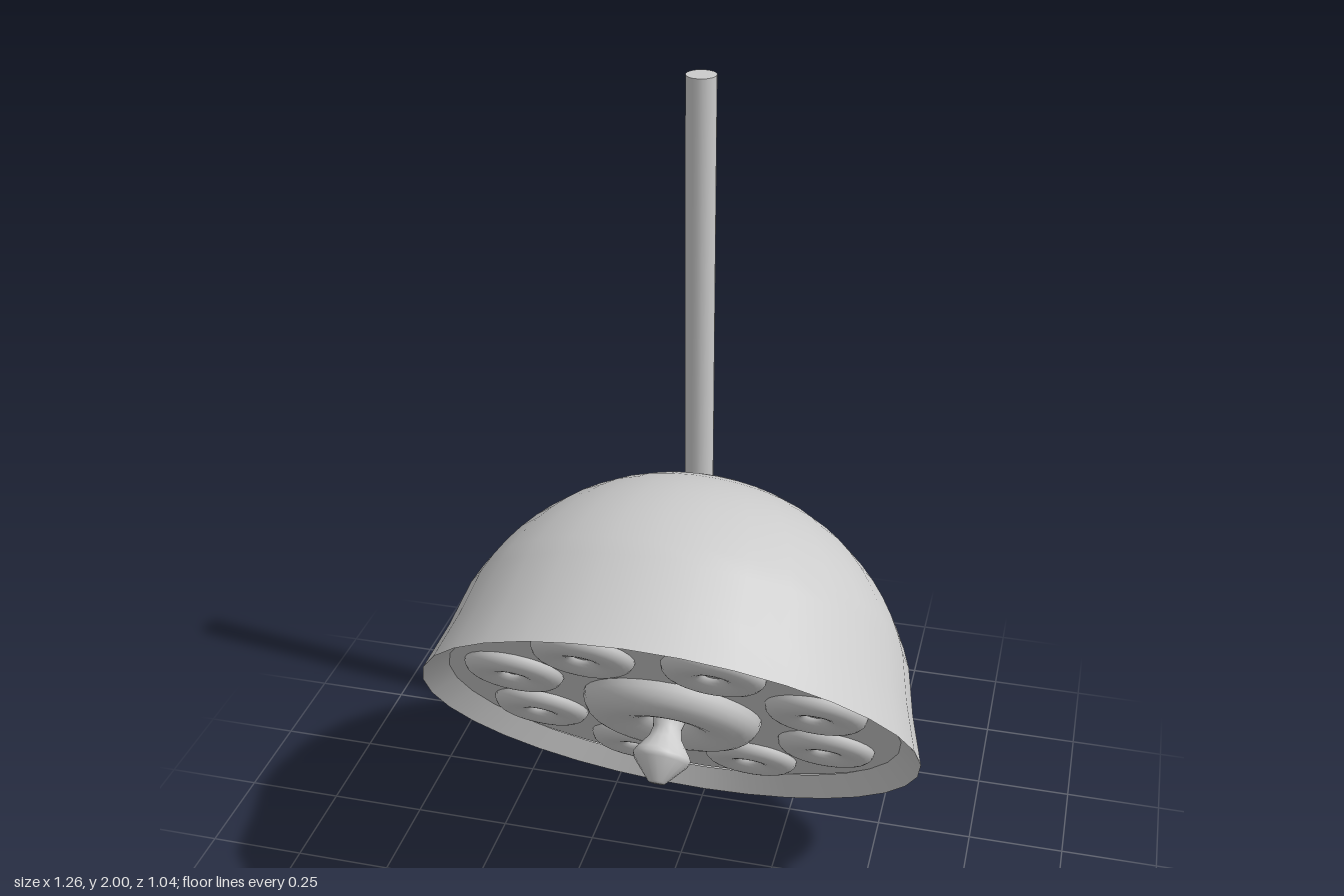
import * as THREE from 'three';

const material = new THREE.MeshStandardMaterial({ color: 0xcccccc, side: THREE.DoubleSide });

// Revolved part; profile points are [radius, height]
function lathe(name, points, segments = 32) {
  const profile = points.map(([r, y]) => new THREE.Vector2(r, y));
  const mesh = new THREE.Mesh(new THREE.LatheGeometry(profile, segments), material);
  mesh.name = name;
  return mesh;
}

// Rounded ring profile from its outer foot, over the crest, down to a central well
function ringProfile(outer, inner, height, wellDepth) {
  const points = [];
  const crest = inner + (outer - inner) * 0.6;
  for (let i = 0; i <= 12; i++) {
    const a = (i / 12) * Math.PI;
    const c = Math.cos(a);
    const r = crest + (c > 0 ? outer - crest : crest - inner) * c;
    const floor = c > 0 ? 0 : wellDepth;
    points.push([r, floor + (height - floor) * Math.sin(a)]);
  }
  return points;
}

export function createModel() {
  const model = new THREE.Group();
  model.name = 'ceilingLamp';

  // Lamp head: local +y is the direction the light shines
  const head = new THREE.Group();
  head.name = 'lampHead';
  head.position.set(0, 0.51, 0.12);
  head.rotation.x = Math.atan2(0.783, -0.62);
  model.add(head);

  // Domed shell: spherical back running into a slightly conical skirt
  const R = 0.616;
  const shellPoints = [];
  for (let i = 0; i <= 14; i++) {
    const a = (i / 14) * 1.22;
    shellPoints.push([R * Math.sin(a), -0.03 - R * Math.cos(a)]);
  }
  shellPoints.push([0.607, -0.12], [0.645, 0]);
  const shell = lathe('shell', shellPoints, 32);
  const rim = lathe('innerRim', [[0.645, 0], [0.588, -0.05]], 32);
  shell.scale.x = rim.scale.x = 0.98;
  head.add(shell, rim);

  // Front panel carrying the lights
  const panel = new THREE.Group();
  panel.name = 'frontPanel';
  panel.position.set(0, -0.05, -0.015);
  head.add(panel);
  panel.add(lathe('panelDisc', [[0.59, 0], [0, 0]], 32));

  // Eight lights around the centre, each a soft ring with a small bulb
  for (let i = 0; i < 8; i++) {
    const a = (i + 0.5) * Math.PI / 4;
    const light = new THREE.Group();
    light.name = 'light';
    light.position.set(0.41 * Math.cos(a), 0, 0.41 * Math.sin(a));
    light.add(lathe('lightRing', ringProfile(0.125, 0.024, 0.032, 0.006), 24));
    light.add(lathe('bulb', [[0.024, 0.002], [0.024, 0.01], [0, 0.01]], 12));
    panel.add(light);
  }

  // Large central ring and the handle in its well
  panel.add(lathe('centreRing', ringProfile(0.227, 0.05, 0.065, 0.008), 32));
  const handle = lathe('handle', [
    [0.06, 0], [0.045, 0.025], [0.036, 0.06], [0.042, 0.085], [0.068, 0.122],
    [0.074, 0.134], [0.068, 0.146], [0.022, 0.198], [0, 0.2],
  ], 16);
  handle.position.z = -0.012;
  panel.add(handle);

  // Vertical pole sunk into the back of the shell
  const pole = new THREE.Mesh(new THREE.CylinderGeometry(0.038, 0.038, 1.38, 20), material);
  pole.name = 'pole';
  pole.position.set(-0.062, 1.31, -0.452);
  model.add(pole);

  return model;
}
